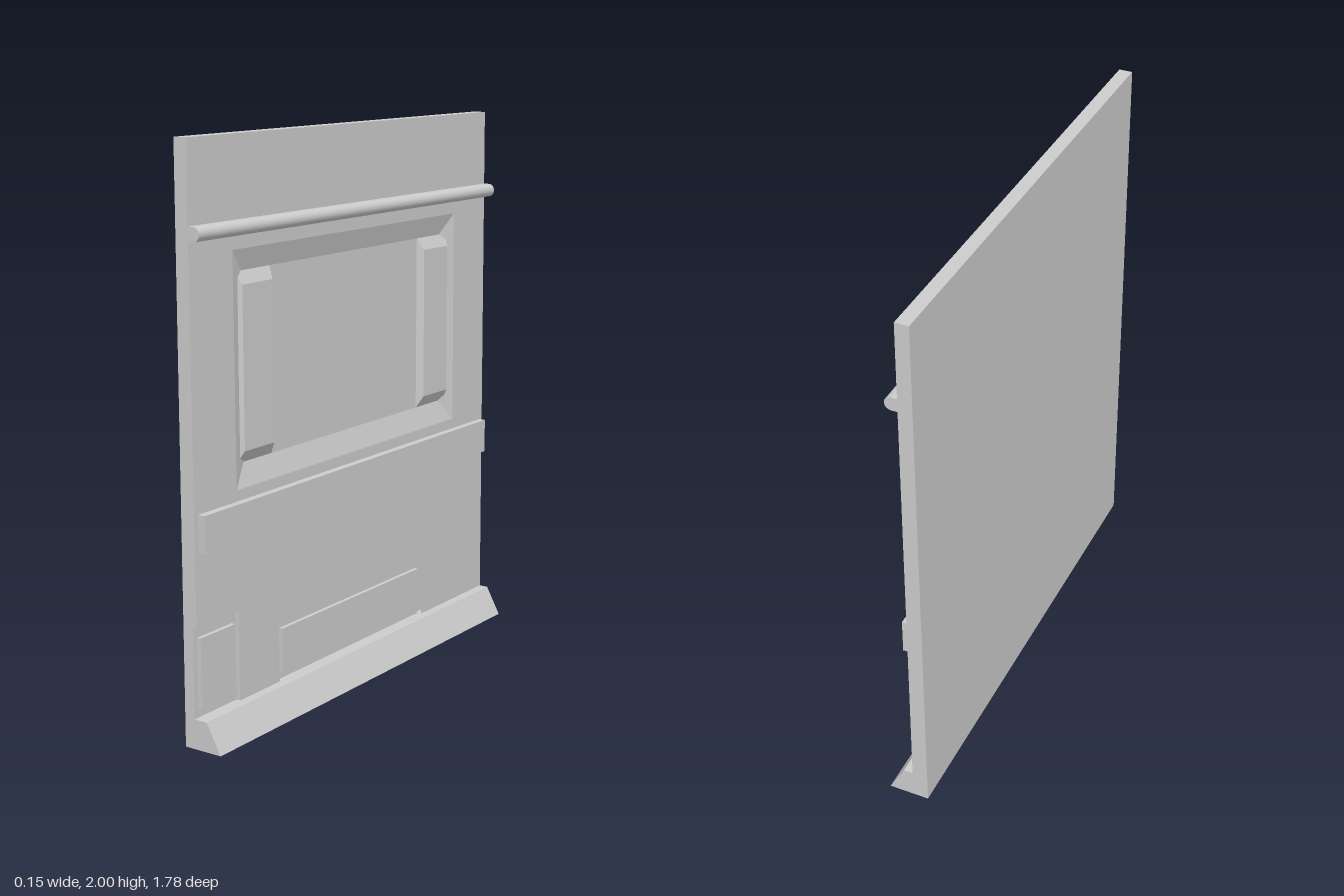
import * as THREE from 'three';

const material = new THREE.MeshStandardMaterial({ color: 0xcccccc });
const W = 0.89, BACK = -0.075, FLOOR = -0.047;
// the wall face leans back slightly towards the top
const faceX = y => -0.018 - 0.004 * y;

function add(group, name, geometry) {
  const mesh = new THREE.Mesh(geometry, material);
  mesh.name = name;
  group.add(mesh);
  return mesh;
}

// box given by its limits
function block(group, name, x0, x1, y0, y1, z0, z1) {
  const g = new THREE.BoxGeometry(x1 - x0, y1 - y0, z1 - z0);
  g.translate((x0 + x1) / 2, (y0 + y1) / 2, (z0 + z1) / 2);
  return add(group, name, g);
}

// rectangle in the wall plane, as a hole
function hole(z0, z1, y0, y1) {
  return new THREE.Path([[-z1, y0], [-z1, y1], [-z0, y1], [-z0, y0]].map(p => new THREE.Vector2(...p)));
}

// wall layer: outline with holes, extruded along x
function layer(group, name, outline, holes, x0, x1) {
  const s = new THREE.Shape(outline.map(([z, y]) => new THREE.Vector2(-z, y)));
  s.holes.push(...holes);
  const g = new THREE.ExtrudeGeometry(s, { depth: x1 - x0, bevelEnabled: false });
  g.rotateY(Math.PI / 2).translate(x0, 0, 0);
  return add(group, name, g);
}

// profile in x and y, run along the full width
function moulding(group, name, shape) {
  const g = new THREE.ExtrudeGeometry(shape, { depth: 2 * W, bevelEnabled: false, curveSegments: 8 });
  return add(group, name, g.translate(0, 0, -W));
}

// four sloping sides between two rectangles [z0, z1, y0, y1], with optional cap
function taper(group, name, outer, inner, xOuter, xInner, cap) {
  const ring = ([z0, z1, y0, y1], x) =>
    [[z1, y0], [z0, y0], [z0, y1], [z1, y1]].map(([z, y]) => [x(y), y, z]);
  const a = ring(outer, xOuter), b = ring(inner, xInner), pos = [];
  const quad = (p, q, r, s) => pos.push(...p, ...q, ...r, ...p, ...r, ...s);
  for (let i = 0; i < 4; i++) {
    const j = (i + 1) % 4;
    quad(a[i], a[j], b[j], b[i]);
  }
  if (cap) quad(...b);
  const g = new THREE.BufferGeometry();
  g.setAttribute('position', new THREE.Float32BufferAttribute(pos, 3));
  g.computeVertexNormals();
  return add(group, name, g);
}

export function createModel() {
  const group = new THREE.Group();
  const full = [[-W, 0], [W, 0], [W, 2], [-W, 2]];

  // wall core, with a shallow panel sunk into the bay floor
  block(group, 'wallBack', BACK, -0.055, 0, 2, -W, W);
  layer(group, 'wallCore', full, [hole(-0.37, 0.37, 1.07, 1.43)], -0.055, FLOOR);

  // face layer with bay, pocket, vent opening and corner notch
  const bay = [-0.67, 0.67, 0.835, 1.63];
  const face = layer(group, 'wallFace',
    [[-W, 0], [0.67, 0], [0.67, 0.42], [W, 0.42], [W, 2], [-W, 2]],
    [hole(...bay), hole(-0.66, 0.665, 0.42001, 0.63), hole(-0.45, 0.45, 0.1, 0.32)],
    FLOOR, -0.02);
  const p = face.geometry.attributes.position;
  for (let i = 0; i < p.count; i++) {
    if (p.getX(i) > -0.03) p.setX(i, faceX(p.getY(i)));
  }

  // sloping edges of the bay
  taper(group, 'baySlopes', bay, [-0.6, 0.6, 0.915, 1.555], faceX, () => FLOOR, false);

  // bevelled pillars at both ends of the bay
  for (const s of [-1, 1]) {
    const c = s * 0.543;
    taper(group, s > 0 ? 'frontPillar' : 'backPillar',
      [c - 0.095, c + 0.095, 0.915, 1.555], [c - 0.08, c + 0.08, 0.958, 1.512],
      () => FLOOR, faceX, true);
  }

  // panels set into the lower openings
  block(group, 'ventRecess', FLOOR, -0.035, 0.09, 0.32, -0.45, 0.45);
  block(group, 'ventPanel', FLOOR, -0.02, 0.13, 0.29, -0.43, 0.43);
  block(group, 'cornerRecess', FLOOR, -0.035, 0.09, 0.42, 0.67, W);
  block(group, 'cornerPanel', FLOOR, -0.02, 0.14, 0.38, 0.69, 0.87);

  // flat belt across the middle
  block(group, 'belt', -0.03, 0.006, 0.67, 0.797, -0.87, 0.87);

  // rounded rail
  const rail = new THREE.Shape();
  rail.moveTo(-0.03, 1.678);
  rail.lineTo(-0.004, 1.678);
  rail.absarc(-0.004, 1.702, 0.024, -Math.PI / 2, Math.PI / 2, false);
  rail.lineTo(-0.03, 1.726);
  moulding(group, 'rail', rail);

  // sloping skirting
  moulding(group, 'skirting', new THREE.Shape(
    [[BACK, 0], [0.072, 0], [0.016, 0.104], [BACK, 0.104]].map(q => new THREE.Vector2(...q))));

  return group;
}
